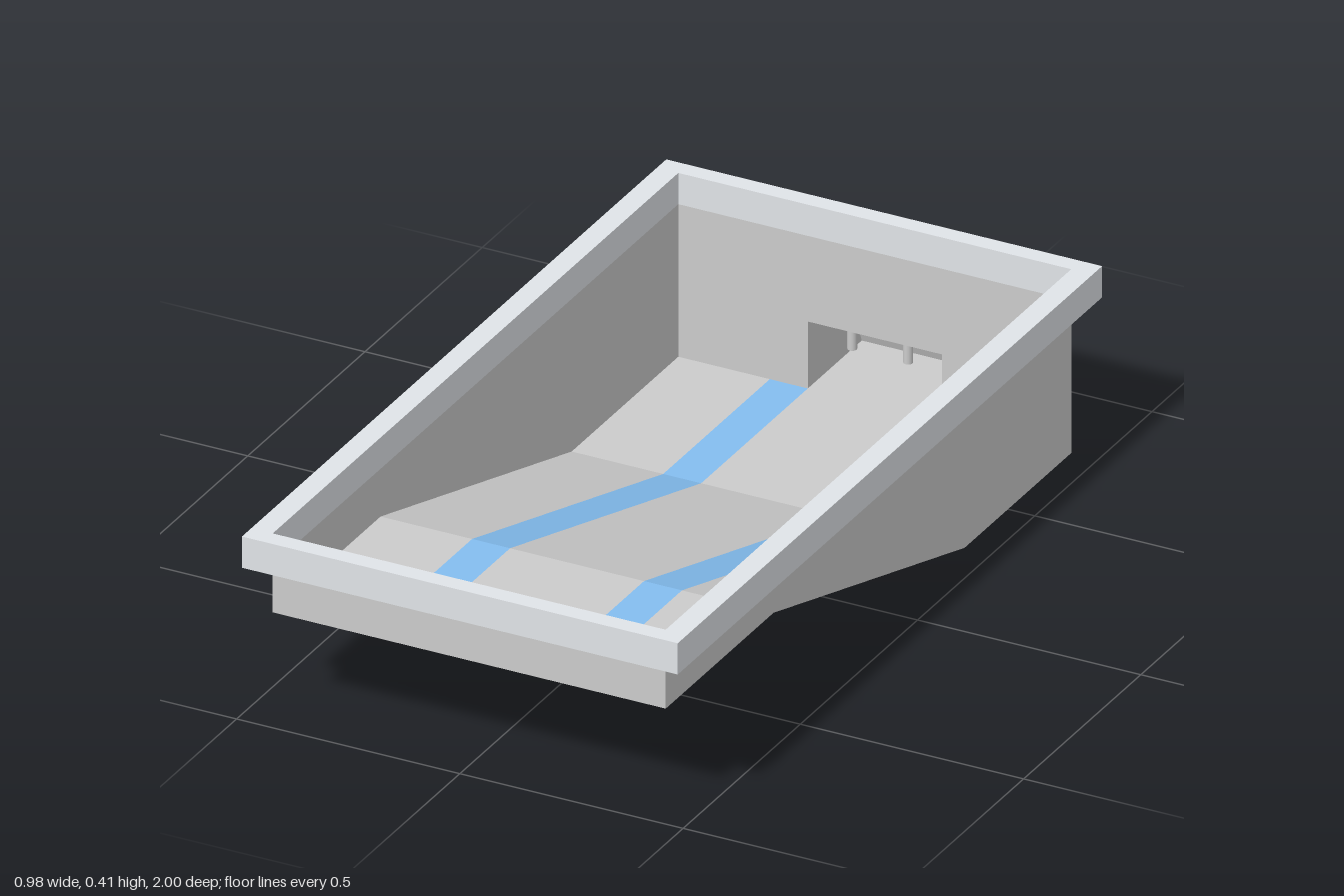
import * as THREE from 'three';

const BACK = -0.77, FRONT = 0.96, HALF = 0.44, RIM_Y = 0.342;
const NICHE = 0.15;

const material = (color) => new THREE.MeshStandardMaterial({ color, side: THREE.DoubleSide });
const grey = material(0xcccccc);
const blue = material(0x84bef0);
const pale = material(0xe0e4e8);

function add(group, name, geometry, mat = grey) {
  const mesh = new THREE.Mesh(geometry, mat);
  mesh.name = name;
  group.add(mesh);
  return mesh;
}

const polygon = (points) => new THREE.Shape(points.map(([a, b]) => new THREE.Vector2(a, b)));

// Sheet following a (z, y) profile, spanning x0 to x1, with flat facets
function sheet(profile, x0, x1) {
  const v = [];
  for (let i = 0; i + 1 < profile.length; i++) {
    const [za, ya] = profile[i], [zb, yb] = profile[i + 1];
    v.push(x0, ya, za, x1, ya, za, x1, yb, zb);
    v.push(x0, ya, za, x1, yb, zb, x0, yb, zb);
  }
  const g = new THREE.BufferGeometry();
  g.setAttribute('position', new THREE.Float32BufferAttribute(v, 3));
  g.computeVertexNormals();
  return g;
}

// Flat (z, y) panel standing at a given x
const sidePanel = (points, x) =>
  new THREE.ShapeGeometry(polygon(points)).rotateY(-Math.PI / 2).translate(x, 0, 0);

export function createModel() {
  const pool = new THREE.Group();
  pool.name = 'swimmingPool';

  // Floor: shallow end, slope and deep end, split into lane stripes
  const floor = [[FRONT, 0.235], [0.5, 0.235], [-0.315, 0], [BACK, 0]];
  const edges = [-HALF, -0.235, -0.15, 0.15, 0.235, HALF];
  for (let i = 0; i < 5; i++) {
    const lane = i % 2 === 1;
    add(pool, lane ? 'laneStripe' : 'floor', sheet(floor, edges[i], edges[i + 1]), lane ? blue : grey);
  }

  // Side and end walls; the deep end wall has a doorway into the niche
  const wall = [[FRONT, RIM_Y], ...floor, [BACK, RIM_Y]];
  add(pool, 'leftWall', sidePanel(wall, HALF));
  add(pool, 'rightWall', sidePanel(wall, -HALF));
  add(pool, 'shallowEndWall', sheet([[FRONT, 0.235], [FRONT, RIM_Y]], -HALF, HALF));
  add(pool, 'deepEndWall', new THREE.ShapeGeometry(polygon([
    [-HALF, 0], [-NICHE, 0], [-NICHE, 0.15], [NICHE, 0.15],
    [NICHE, 0], [HALF, 0], [HALF, RIM_Y], [-HALF, RIM_Y],
  ])).translate(0, 0, BACK));

  // Niche behind the deep end, with a sloping back
  const niche = [[BACK, 0], [-1, 0], [-0.94, 0.15], [BACK, 0.15]];
  add(pool, 'nicheShell', sheet(niche, -NICHE, NICHE));
  for (const s of [-1, 1]) {
    add(pool, 'nicheSide', sidePanel(niche, s * NICHE));
    // Pins passing through the niche roof
    add(pool, 'pin', new THREE.CylinderGeometry(0.01, 0.01, 0.1, 12))
      .position.set(s * 0.0625, 0.15, -0.793);
  }

  // Raised rim frame around the top
  const rim = polygon([[-0.488, -1], [0.488, -1], [0.488, 0.81], [-0.488, 0.81]]);
  rim.holes.push(polygon([[-HALF, -FRONT], [-HALF, -BACK], [HALF, -BACK], [HALF, -FRONT]]));
  add(pool, 'rim', new THREE.ExtrudeGeometry(rim, { depth: 0.07, bevelEnabled: false })
    .rotateX(-Math.PI / 2).translate(0, RIM_Y, 0), pale);

  return pool;
}
